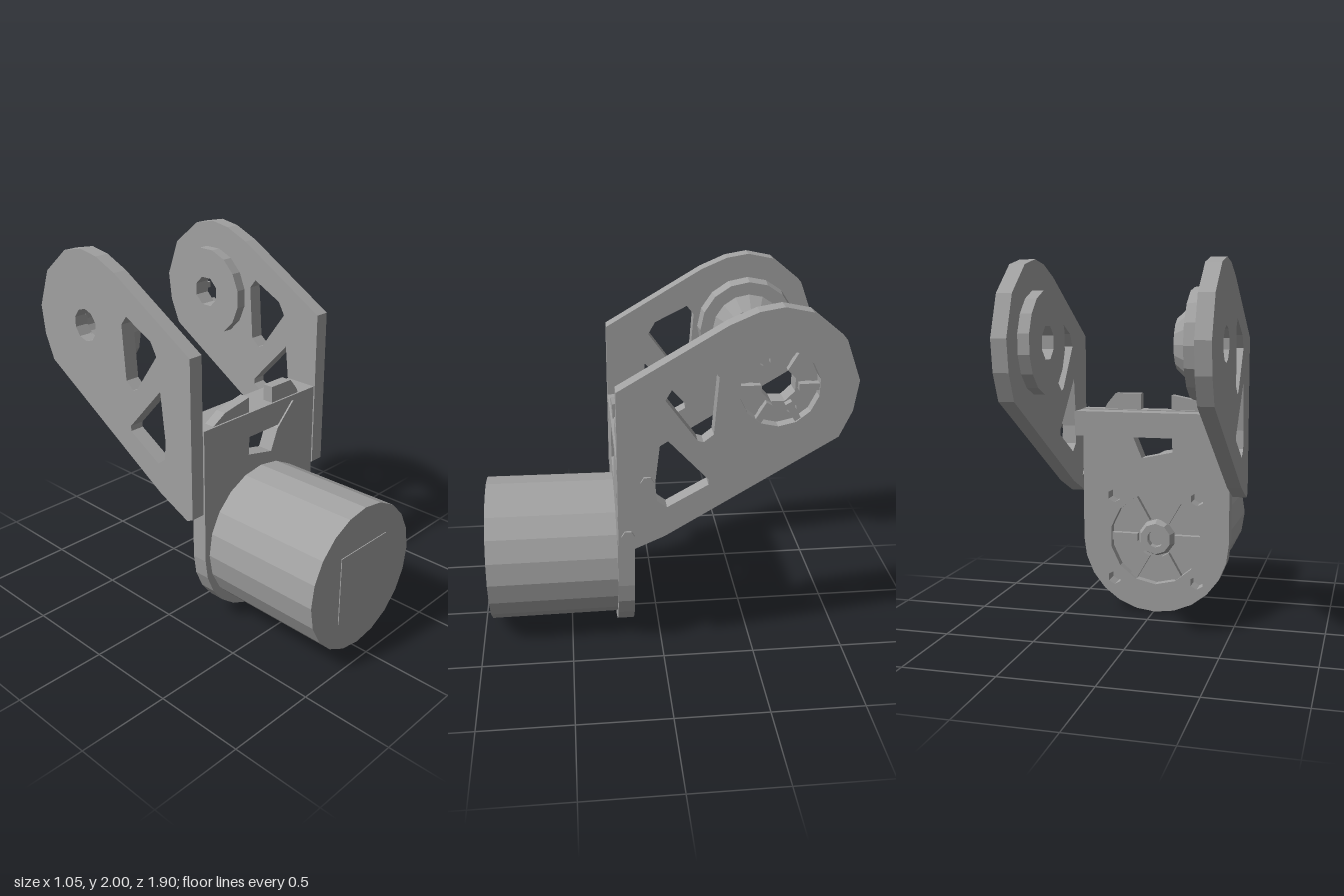
import * as THREE from 'three';

const grey = new THREE.MeshStandardMaterial({ color: 0xa2a2a2, flatShading: true });
grey.name = 'grey metal';

const points = (list) => list.map(([a, b]) => new THREE.Vector2(a, b));
const ring = (cx, cy, r, n) => Array.from({ length: n }, (_, i) => {
  const a = ((i + 0.5) / n) * Math.PI * 2;
  return [cx + r * Math.cos(a), cy + r * Math.sin(a)];
});

// Flat plate with holes, extruded along +z
function plate(outline, holes, depth) {
  const shape = new THREE.Shape(points(outline));
  holes.forEach((h) => shape.holes.push(new THREE.Path(points(h))));
  return new THREE.ExtrudeGeometry(shape, { depth, bevelEnabled: false });
}

// The same, drawn in (-z, y) and extruded along x from x0 to x1
function sidePlate(outline, holes, x0, x1) {
  return plate(outline, holes, x1 - x0).rotateY(Math.PI / 2).translate(x0, 0, 0);
}

function add(group, name, geometry) {
  const mesh = new THREE.Mesh(geometry, grey);
  mesh.name = name;
  group.add(mesh);
  return mesh;
}

// Fork arm profile and its two lightening windows
const HUB = [0.56, 1.59];
const armOutline = [
  [-0.24, 0.72], [-0.2, 0.7], [0, 0.79], [0.87, 1.32], [0.93, 1.46], [0.95, 1.62],
  [0.87, 1.83], [0.7, 1.97], [0.56, 2], [0.44, 1.98], [0.3, 1.92], [-0.24, 1.6],
];
const upperWindow = [[0, 1.55], [0.16, 1.33], [0.19, 1.32], [0.24, 1.36], [0.26, 1.66], [0.22, 1.71], [0.04, 1.62]];
const lowerWindow = [[-0.02, 1.37], [0.22, 1.11], [0.22, 1.08], [0.01, 0.96], [-0.04, 1], [-0.05, 1.1]];

// Lathe around the x axis at the hub; profile is [radius, x]
function hubLathe(profile, n) {
  return new THREE.LatheGeometry(points(profile), n)
    .rotateZ(-Math.PI / 2).translate(0, HUB[1], -HUB[0]);
}

export function createModel() {
  const model = new THREE.Group();
  model.name = 'motorBracket';

  // Right arm with stepped bearing boss facing inward
  add(model, 'rightArm', sidePlate(armOutline, [upperWindow, lowerWindow, ring(...HUB, 0.09, 10)], -0.53, -0.45));
  add(model, 'rightBearing', hubLathe([
    [0.09, -0.46], [0.28, -0.46], [0.27, -0.375], [0.2, -0.375], [0.13, -0.3], [0.09, -0.3], [0.09, -0.46],
  ], 16));

  // Left arm: open socket outside, shallow boss inside
  add(model, 'leftArm', sidePlate(armOutline, [upperWindow, lowerWindow, ring(...HUB, 0.2, 14)], 0.43, 0.51));
  const pockets = Array.from({ length: 6 }, (_, i) => {
    const a = (i / 6) * Math.PI * 2;
    return ring(HUB[0] + 0.145 * Math.cos(a), HUB[1] + 0.145 * Math.sin(a), 0.028, 6);
  });
  add(model, 'leftBoss', sidePlate(ring(...HUB, 0.26, 16), [ring(...HUB, 0.09, 8)], 0.37, 0.435));
  add(model, 'leftHorn', sidePlate(ring(...HUB, 0.195, 14), [ring(...HUB, 0.09, 8), ...pockets], 0.435, 0.465));
  for (let i = 0; i < 6; i++) {
    const a = ((i + 0.5) / 6) * Math.PI * 2;
    const rib = add(model, 'hornRib', new THREE.BoxGeometry(0.04, 0.11, 0.035));
    rib.position.set(0.48, HUB[1] + 0.15 * Math.cos(a), -HUB[0] + 0.15 * Math.sin(a));
    rib.rotation.x = a;
  }

  // Screws at the foot of each arm
  for (const s of [-1, 1]) {
    for (const [z, y] of [[0.19, 0.8], [0.09, 1.11]]) {
      const screw = add(model, 'armScrew', new THREE.CylinderGeometry(0.03, 0.035, 0.1, 6));
      screw.rotation.z = Math.PI / 2;
      screw.position.set(s * 0.474, y, z);
    }
  }

  // Motor mounting plate with rounded foot, opening and shaft recess
  const mountOutline = [[0.42, 1.19], [-0.44, 1.19]];
  for (let i = 0; i <= 12; i++) {
    const a = Math.PI + (i / 12) * Math.PI;
    mountOutline.push([-0.01 + 0.43 * Math.cos(a), 0.43 + 0.425 * Math.sin(a)]);
  }
  const opening = [[-0.11, 0.95], [0.07, 0.91], [0.12, 1.03], [0.25, 1.16], [-0.1, 1.16]];
  const mountHoles = [[-1, -1], [1, -1], [-1, 1], [1, 1]].map(([sx, sy]) =>
    ring(-0.01 + sx * 0.245, 0.44 + sy * 0.245, 0.04, 6));
  add(model, 'mountPlate', plate(mountOutline, [opening, ring(-0.01, 0.44, 0.27, 14), ...mountHoles], 0.09)
    .translate(0, 0, 0.15));

  // Motor rear cap, shaft boss and radial ribs inside the recess
  const cap = add(model, 'motorRearCap', new THREE.CylinderGeometry(0.28, 0.28, 0.05, 14));
  cap.rotation.x = Math.PI / 2;
  cap.position.set(-0.01, 0.44, 0.225);
  const shaft = add(model, 'shaftBoss', new THREE.LatheGeometry(
    points([[0.05, -0.03], [0.05, 0.05], [0.09, 0.05], [0.12, -0.03]].reverse()), 10));
  shaft.rotation.x = -Math.PI / 2;
  shaft.position.set(-0.01, 0.44, 0.2);
  for (let i = 0; i < 6; i++) {
    const a = (i / 6) * Math.PI * 2;
    const rib = add(model, 'capRib', new THREE.BoxGeometry(0.16, 0.045, 0.04));
    rib.position.set(-0.01 + 0.19 * Math.cos(a), 0.44 + 0.19 * Math.sin(a), 0.185);
    rib.rotation.z = a;
  }

  // Cross bar joining the arms, with two tabs on top
  const bar = add(model, 'crossBar', new THREE.BoxGeometry(0.89, 0.14, 0.19));
  bar.position.set(-0.01, 1.115, 0.135);
  const leftTab = [[0.08, 1.18], [0.3, 1.18], [0.28, 1.22], [0.23, 1.28], [0.08, 1.28]];
  const rightTab = [[-0.38, 1.18], [-0.1, 1.18], [-0.1, 1.275], [-0.28, 1.24]];
  add(model, 'leftTab', plate(leftTab, [], 0.06).translate(0, 0, 0.17));
  add(model, 'rightTab', plate(rightTab, [], 0.06).translate(0, 0, 0.17));

  // Motor can and square end face
  const can = add(model, 'motorCan', new THREE.CylinderGeometry(0.405, 0.4, 0.705, 20));
  can.rotation.x = Math.PI / 2;
  can.position.set(-0.01, 0.455, 0.5925);
  const face = add(model, 'motorEndFace', new THREE.BoxGeometry(0.37, 0.39, 0.008));
  face.position.set(-0.005, 0.445, 0.946);

  return model;
}
